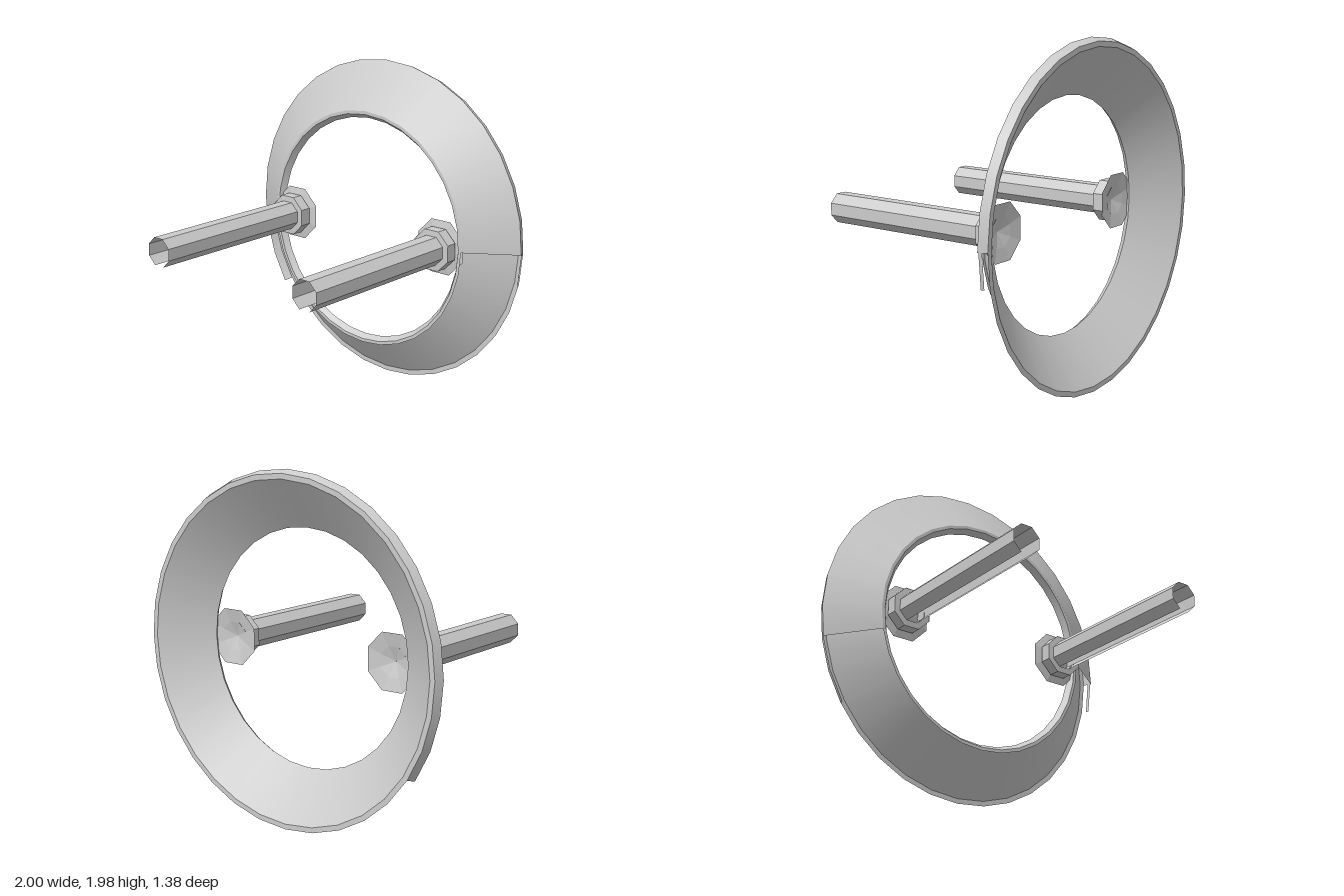
import * as THREE from 'three';

const CENTER_Y = 0.995;
const RING_SIDES = 32;
const STEP = (Math.PI * 2) / RING_SIDES;

function makeMaterial(flatShading) {
  return new THREE.MeshStandardMaterial({ color: 0xcccccc, side: THREE.DoubleSide, flatShading });
}

// Conical band around the z axis; start and count are in ring steps, counterclockwise from +x
function band(name, r0, z0, r1, z1, start, count, material) {
  const profile = [new THREE.Vector2(r0, z0), new THREE.Vector2(r1, z1)];
  const geometry = new THREE.LatheGeometry(profile, count, start * STEP + Math.PI / 2, count * STEP);
  geometry.rotateX(Math.PI / 2);
  const mesh = new THREE.Mesh(geometry, material);
  mesh.name = name;
  return mesh;
}

// Eight-sided tube or disc along z, from zBack to zFront
function prism(name, rBack, rFront, zBack, zFront, material, missing = 0) {
  const gap = Math.PI / 4;
  const geometry = new THREE.CylinderGeometry(
    rFront, rBack, zFront - zBack, 8 - missing, 1, true,
    gap / 2, Math.PI * 2 - gap * missing);
  geometry.rotateX(Math.PI / 2);
  geometry.translate(0, 0, (zFront + zBack) / 2);
  const mesh = new THREE.Mesh(geometry, material);
  mesh.name = name;
  return mesh;
}

function createRing() {
  const ring = new THREE.Group();
  ring.name = 'ring';
  const material = makeMaterial(false);
  ring.add(
    // Inside funnel and back edge run all the way round
    band('innerCone', 0.675, -0.485, 0.95, -0.69, 0, 32, material),
    band('backEdge', 0.95, -0.69, 0.98, -0.69, 0, 32, material),
    band('frontEdge', 0.72, -0.45, 0.7, -0.45, 0, 32, material),
    band('innerLip', 0.7, -0.45, 0.675, -0.485, 0, 32, material),
    // Outer shell covers only the upper part
    band('outerCone', 0.72, -0.45, 1, -0.64, 0, 17, material),
    band('outerRim', 1, -0.64, 0.98, -0.69, 0, 19, material),
    band('rimSliver', 0.997, -0.645, 0.99, -0.662, -1, 1, material)
  );
  return ring;
}

function createPost(side) {
  const post = new THREE.Group();
  post.name = side > 0 ? 'leftPost' : 'rightPost';
  const material = makeMaterial(true);

  post.add(
    // Hollow shaft, open along its underside
    prism('shaft', 0.09, 0.09, -0.45, 0.69, material, 1),
    prism('nutSides', 0.128, 0.128, -0.45, -0.38, material),
    prism('nutFace', 0.128, 0.088, -0.383, -0.38, material),
    prism('flange', 0.172, 0.088, -0.468, -0.452, material),
    // Shallow plug closing the shaft at its base
    prism('plug', 0.09, 0.001, -0.455, -0.43, material)
  );
  post.position.x = side * 0.56;
  return post;
}

export function createModel() {
  const model = new THREE.Group();
  model.name = 'ringWithPosts';
  const body = new THREE.Group();
  body.name = 'body';
  body.position.y = CENTER_Y;
  body.add(createRing(), createPost(1), createPost(-1));
  model.add(body);

  // Stand the ring on the ground
  const box = new THREE.Box3().setFromObject(model);
  body.position.y -= box.min.y;
  return model;
}
